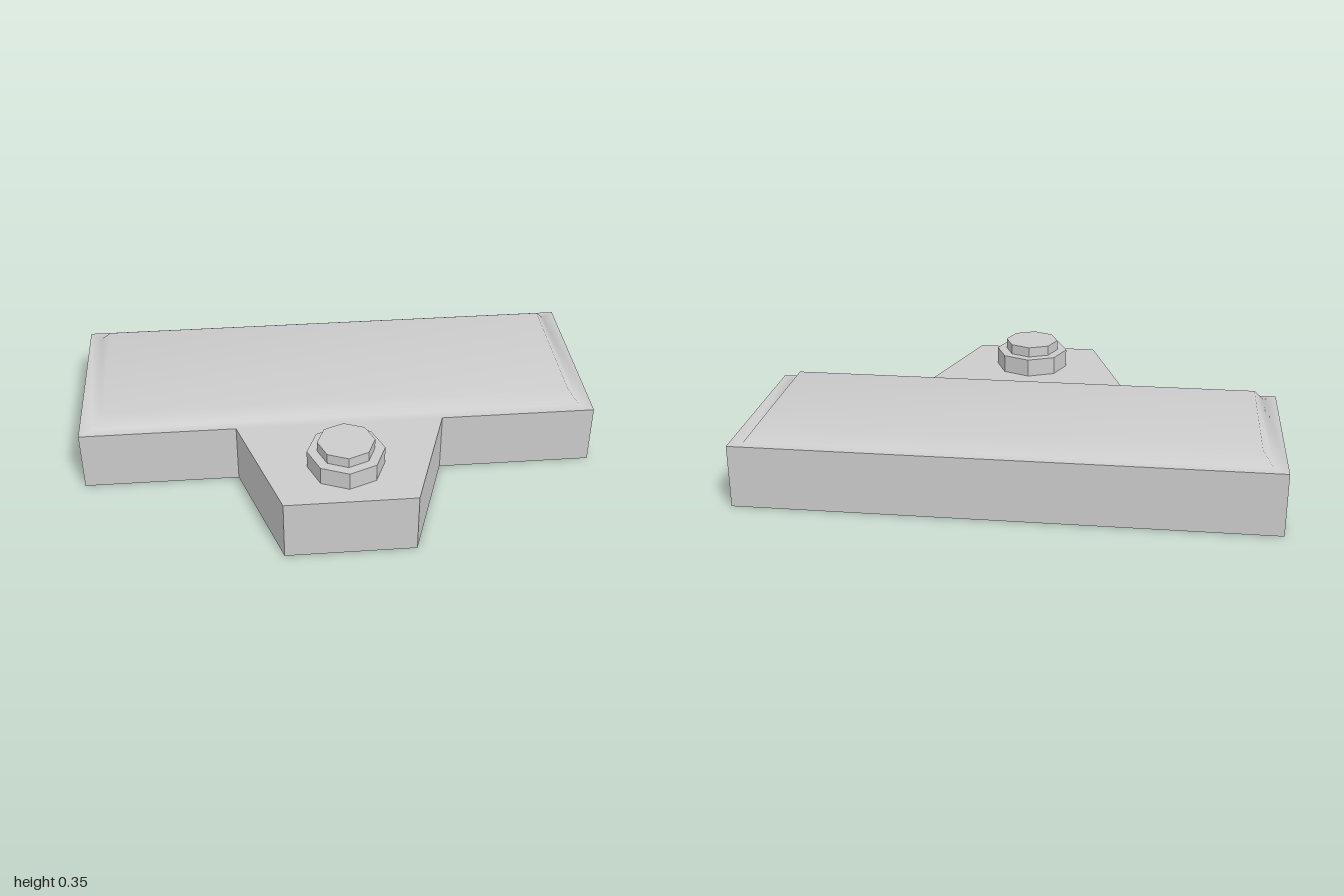
import * as THREE from 'three';

const DECK = 0.24;

const material = (flatShading) => new THREE.MeshStandardMaterial({
  color: 0xcccccc, flatShading, side: THREE.DoubleSide,
});

function addMesh(group, name, geometry, flat = true) {
  const mesh = new THREE.Mesh(geometry, material(flat));
  mesh.name = name;
  group.add(mesh);
  return mesh;
}

function makeGeometry(points, index) {
  const geometry = new THREE.BufferGeometry();
  geometry.setAttribute('position', new THREE.Float32BufferAttribute(points.flat(), 3));
  geometry.setIndex(index);
  return geometry;
}

// Nested rectangles joined into a smooth raised panel: [halfWidth, zBack, zFront, y]
function panelGeometry(rings) {
  const points = [], index = [];
  rings.forEach(([w, back, front, y], r) => {
    points.push([-w, y, front], [w, y, front], [w, y, back], [-w, y, back]);
    if (r === 0) return;
    const inner = r * 4, outer = inner - 4;
    for (let i = 0; i < 4; i++) {
      const j = (i + 1) % 4;
      index.push(outer + i, outer + j, inner + j, outer + i, inner + j, inner + i);
    }
  });
  const last = points.length - 4;
  index.push(last, last + 1, last + 2, last, last + 2, last + 3);
  const geometry = makeGeometry(points, index);
  geometry.computeVertexNormals();
  return geometry;
}

// Vertical skirt around an outline of [x, z] corners
function skirtGeometry(outline, height) {
  const points = [], index = [], n = outline.length;
  outline.forEach(([x, z], i) => {
    points.push([x, 0, z], [x, height, z]);
    const a = i * 2, b = ((i + 1) % n) * 2;
    index.push(a, b, b + 1, a, b + 1, a + 1);
  });
  const geometry = makeGeometry(points, index).toNonIndexed();
  geometry.computeVertexNormals();
  return geometry;
}

// Eight-sided turned part from [radius, y] points
const octagonal = (profile) =>
  new THREE.LatheGeometry(profile.map(([r, y]) => new THREE.Vector2(r, y)), 8);

export function createModel() {
  const model = new THREE.Group();
  model.name = 'mountingPlate';

  // Side walls, open underneath
  const tab = [[-0.4, 0.13], [-0.245, 0.6], [0.245, 0.6], [0.4, 0.13]];
  const outline = [[-1, 0.13], ...tab, [1, 0.13], [1, -0.6], [-1, -0.6]];
  addMesh(model, 'sideWalls', skirtGeometry(outline, DECK));

  // Main plate top with its raised field
  addMesh(model, 'raisedTop', panelGeometry([
    [1, -0.6, 0.13, DECK],
    [0.95, -0.56, 0.09, DECK],
    [0.91, -0.52, 0.05, 0.29],
  ]), false);

  // Tapered tab top
  const tabTop = makeGeometry(tab.map(([x, z]) => [x, DECK, z]), [0, 1, 2, 0, 2, 3]);
  tabTop.computeVertexNormals();
  addMesh(model, 'tabTop', tabTop);

  // Nut, open below the deck, and the bolt end above it
  const bolt = new THREE.Group();
  bolt.name = 'bolt';
  bolt.position.z = 0.385;
  addMesh(bolt, 'nut', octagonal([[0.145, 0.2], [0.145, 0.31], [0, 0.31]]));
  addMesh(bolt, 'boltEnd', octagonal([[0.107, 0.31], [0.107, 0.35], [0, 0.35]]));
  model.add(bolt);

  return model;
}
